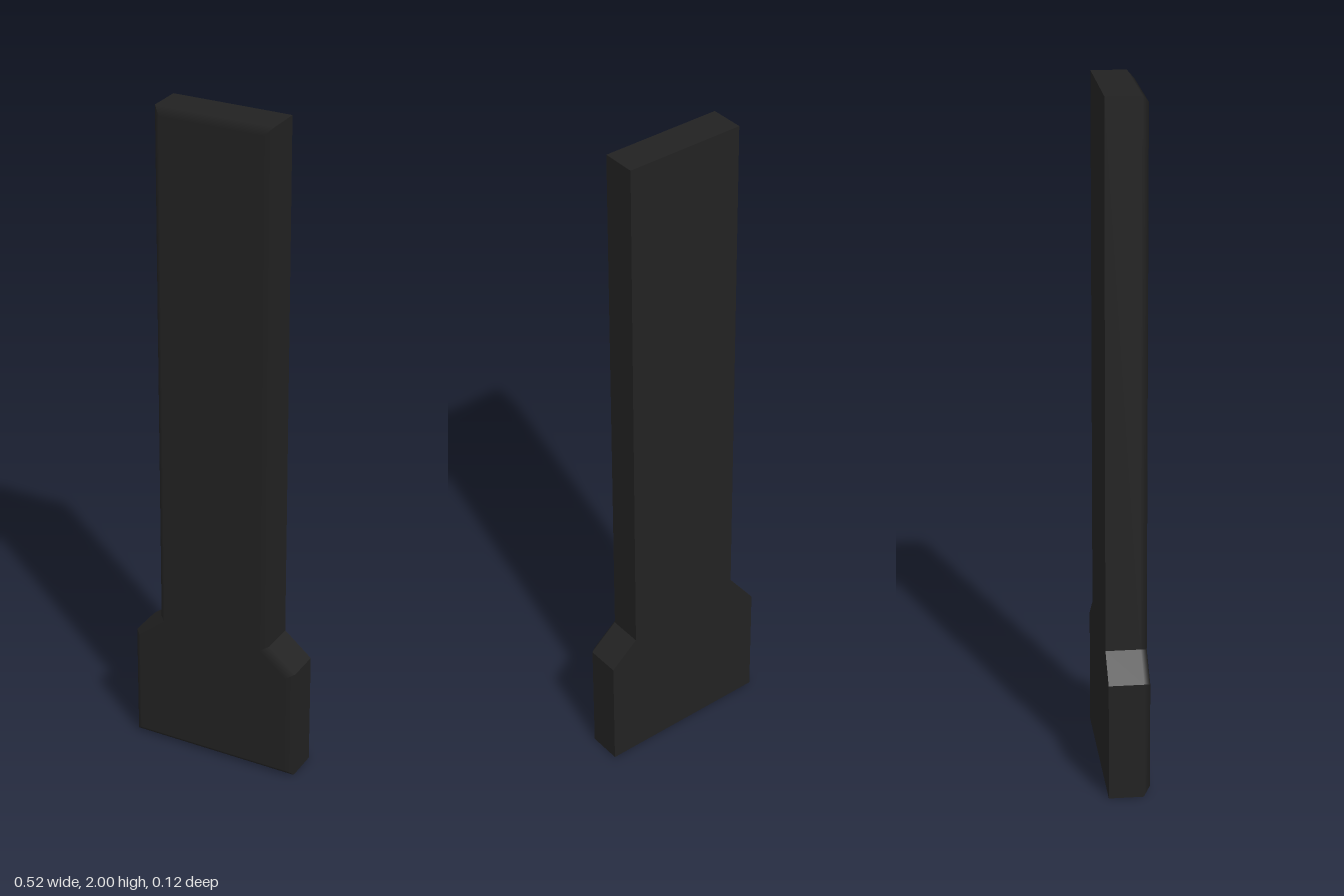
import * as THREE from 'three';

export function createModel() {
  const group = new THREE.Group();
  const black = new THREE.MeshStandardMaterial({ color: 0x222222 });
  black.name = 'matte black';

  const back = -0.06, rim = 0.04, front = 0.06, bevel = 0.022;

  // Outline, counter-clockwise: wide foot, sloped shoulders, long blade
  const half = [[0.262, 0], [0.262, 0.35], [0.178, 0.42], [0.178, 2]];
  const outline = [
    ...half.map(([x, y]) => new THREE.Vector2(x, y)),
    ...half.slice().reverse().map(([x, y]) => new THREE.Vector2(-x, y)),
  ];
  const count = outline.length;

  // Outward normal of each edge, and the outline inset with mitred corners
  const normals = outline.map((p, i) => {
    const d = outline[(i + 1) % count].clone().sub(p).normalize();
    return new THREE.Vector2(d.y, -d.x);
  });
  const inset = outline.map((p, i) => {
    const a = normals[(i + count - 1) % count], b = normals[i];
    return p.clone().addScaledVector(a.clone().add(b), -bevel / (1 + a.dot(b)));
  });

  // Ring of quads between two outlines; each end has its own normals
  function ring(name, loopA, zA, loopB, zB, frontNormalB) {
    const pos = [], nor = [], idx = [];
    for (let i = 0; i < count; i++) {
      const j = (i + 1) % count, n = normals[i], v = i * 4;
      pos.push(loopA[i].x, loopA[i].y, zA, loopA[j].x, loopA[j].y, zA,
        loopB[j].x, loopB[j].y, zB, loopB[i].x, loopB[i].y, zB);
      const end = frontNormalB ? [0, 0, 1] : [n.x, n.y, 0];
      nor.push(n.x, n.y, 0, n.x, n.y, 0, ...end, ...end);
      idx.push(v, v + 1, v + 2, v, v + 2, v + 3);
    }
    const geo = new THREE.BufferGeometry();
    geo.setAttribute('position', new THREE.Float32BufferAttribute(pos, 3));
    geo.setAttribute('normal', new THREE.Float32BufferAttribute(nor, 3));
    geo.setIndex(idx);
    add(name, geo);
  }

  function add(name, geo) {
    const mesh = new THREE.Mesh(geo, black);
    mesh.name = name;
    group.add(mesh);
    return mesh;
  }

  // Straight sides and softened front bevel
  ring('sides', outline, back, outline, rim, false);
  ring('frontBevel', outline, rim, inset, front, true);

  // Flat front and back (the symmetric back is turned around)
  add('frontFace', new THREE.ShapeGeometry(new THREE.Shape(inset))).position.z = front;
  const backFace = add('backFace', new THREE.ShapeGeometry(new THREE.Shape(outline)));
  backFace.rotation.y = Math.PI;
  backFace.position.z = back;

  group.name = 'bladePanel';
  return group;
}
